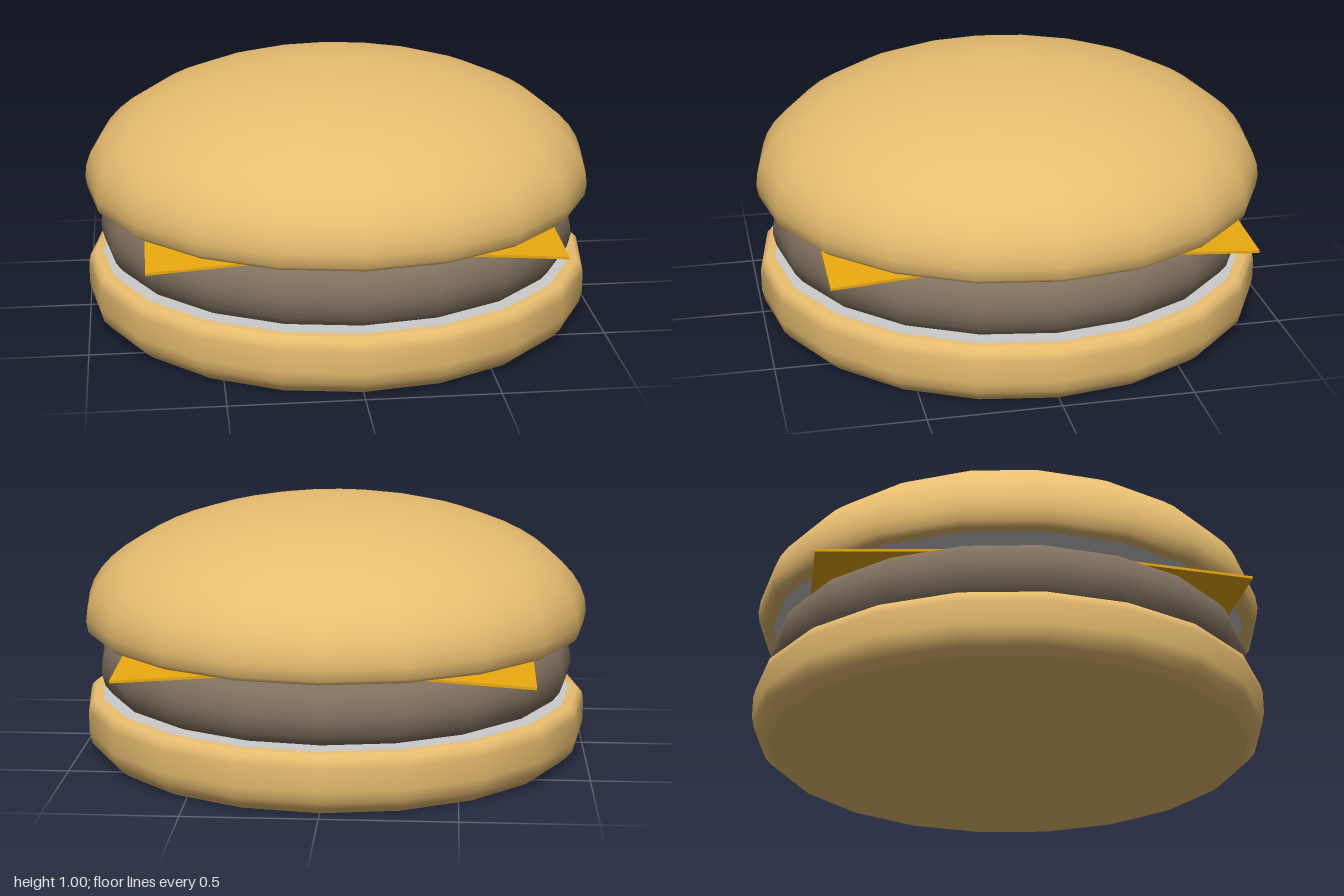
import * as THREE from 'three';

const SIDES = 20;
const mat = (color) => new THREE.MeshStandardMaterial({ color, roughness: 0.9 });

export function createModel() {
  const model = new THREE.Group();
  const bun = mat(0xe8bd70), patty = mat(0x80705f), cheese = mat(0xe8a810), grey = mat(0xcccccc);

  const add = (name, geometry, material) => {
    const mesh = new THREE.Mesh(geometry, material);
    mesh.name = name;
    model.add(mesh);
    return mesh;
  };

  // Smooth wall turned from [radius, height] points, listed bottom to top
  const turned = (name, points, material) =>
    add(name, new THREE.LatheGeometry(points.map(([r, y]) => new THREE.Vector2(r, y)), SIDES), material);

  // Flat cap with its corners lined up with the turned walls
  const cap = (name, radius, y, up, material) => {
    const disc = new THREE.CircleGeometry(radius, SIDES);
    disc.rotateX(up ? -Math.PI / 2 : Math.PI / 2);
    add(name, disc, material).position.y = y;
  };

  // Bottom bun
  turned('bottomBun', [[0.935, 0], [0.965, 0.025], [0.99, 0.055], [1, 0.1], [1, 0.185],
    [0.993, 0.215], [0.975, 0.23], [0.94, 0.233]], bun);
  cap('bottomBunBase', 0.935, 0, false, bun);
  cap('bottomBunCutFace', 0.94, 0.233, true, grey);

  // Patty with a rounded rim
  turned('patty', [[0.87, 0.235], [0.905, 0.25], [0.932, 0.285], [0.945, 0.335], [0.942, 0.375],
    [0.93, 0.42], [0.905, 0.45], [0.865, 0.462]], patty);
  cap('pattyTop', 0.865, 0.462, true, patty);
  cap('pattyBottom', 0.87, 0.235, false, patty);

  // Square cheese slice whose corners droop
  const slice = new THREE.BoxGeometry(1.55, 0.01, 1.61, 24, 1, 24);
  const p = slice.attributes.position;
  for (let i = 0; i < p.count; i++) {
    const overhang = Math.max(0, Math.abs(p.getX(i)) + Math.abs(p.getZ(i)) - 1.0);
    p.setY(i, p.getY(i) + 0.481 - 0.07 * overhang);
  }
  slice.computeVertexNormals();
  add('cheeseSlice', slice, cheese);

  // Top bun: tucked rim below an elliptical dome
  const dome = [[0.94, 0.486], [0.975, 0.488], [0.993, 0.505]];
  const STEPS = 14;
  for (let i = 0; i <= STEPS; i++) {
    const a = (i / STEPS) * Math.PI / 2;
    dome.push([i === STEPS ? 0 : Math.cos(a), 0.55 + 0.45 * Math.sin(a)]);
  }
  turned('topBun', dome, bun);
  cap('topBunCutFace', 0.94, 0.486, false, grey);

  return model;
}
